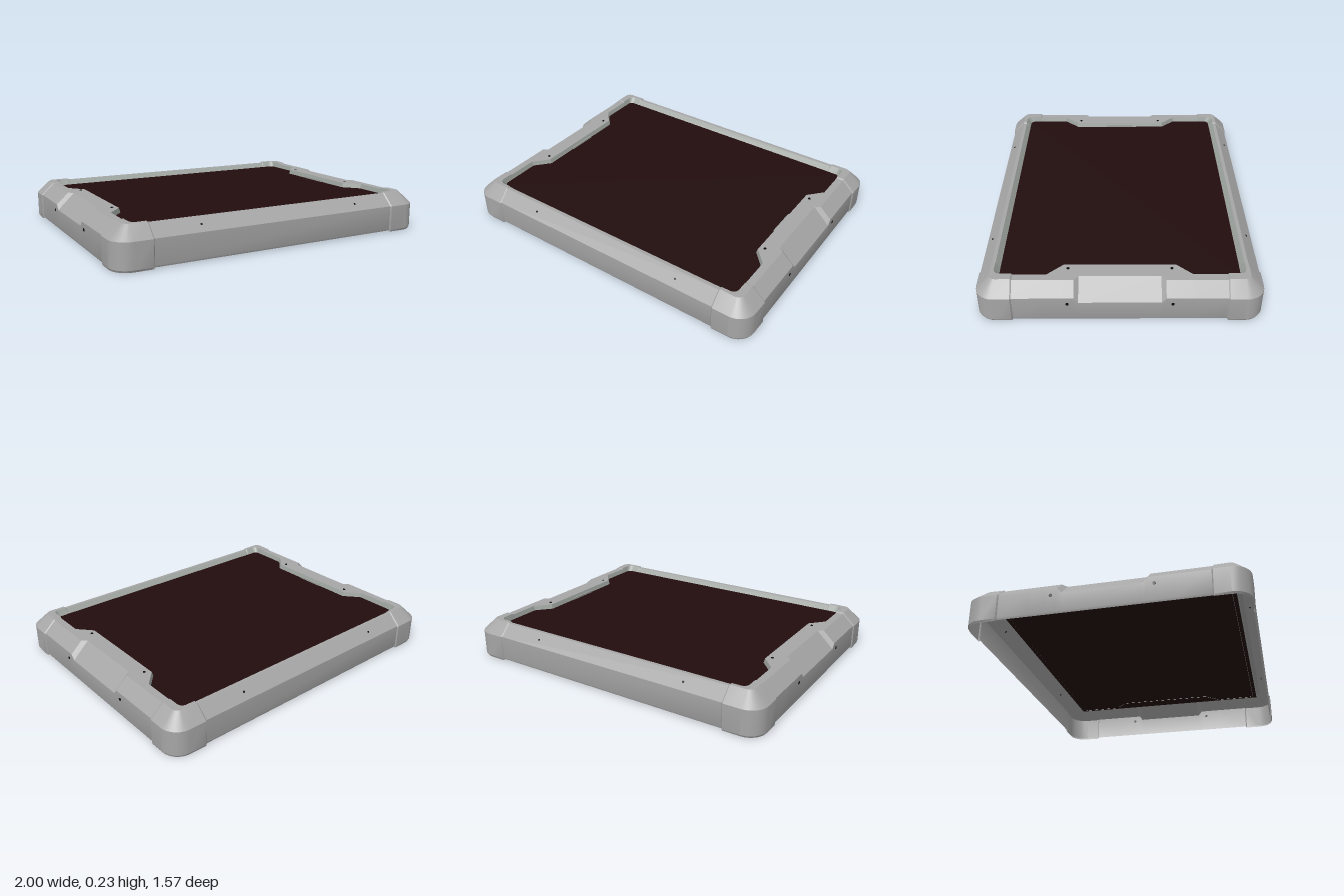
import * as THREE from 'three';
import { toCreasedNormals } from 'three/addons/utils/BufferGeometryUtils.js';

const shellMat = new THREE.MeshStandardMaterial({ name: 'grey shell', color: 0xa6a6a6, side: THREE.DoubleSide });
const lipMat = new THREE.MeshStandardMaterial({ name: 'greenish grey lip', color: 0x9da39f, side: THREE.DoubleSide });
const panelMat = new THREE.MeshStandardMaterial({ name: 'dark panel', color: 0x220d0d });
const holeMat = new THREE.MeshStandardMaterial({ name: 'black hole', color: 0x0a0a0a });

// One station of the frame: its section from the bottom edge, over the rim, to the inner lip.
function section(out, low, wallY, chamfer, topY, innerTop, innerLow, bottomY) {
  return [
    [low[0], bottomY, low[1]],
    [out[0], bottomY + 0.012, out[1]],
    [out[0], wallY, out[1]],
    [chamfer[0], topY, chamfer[1]],
    [innerTop[0], topY, innerTop[1]],
    [innerLow[0], 0.196, innerLow[1]],
  ];
}

// Stations of one quarter of the frame, from the side notch round to the front.
function quarterStations() {
  const list = [];
  const side = (z, notch, inner, bulge = 0) => list.push(section(
    [0.993 + bulge, z], [0.988 + bulge, z], notch ? 0.13 : 0.16, [notch ? 0.89 : 0.92, z],
    0.228 + bulge, [inner + 0.01, z], [inner, z], 0.007 - bulge));
  side(0.225, true, 0.785);
  side(0.25, false, 0.785);
  side(0.31, false, 0.785);
  side(0.4, false, 0.865);
  side(0.585, false, 0.865);
  side(0.592, false, 0.865, 0.007);
  // rounded corner bumper
  const arc = (x, z, r, a) => [x - r + r * Math.cos(a), z - r + r * Math.sin(a)];
  for (let i = 0; i <= 8; i++) {
    const a = i / 8 * Math.PI / 2;
    list.push(section(
      arc(1, 0.787, 0.105, a), arc(0.994, 0.781, 0.1, a), 0.16, arc(0.922, 0.712, 0.04, a),
      0.235, arc(0.875, 0.69, 0.035, a), arc(0.865, 0.66, 0.03, a), 0));
  }
  const front = (x, bulge) => list.push(section(
    [x, 0.78 + bulge], [x, 0.775 + bulge], 0.16, [x, 0.711], 0.228 + bulge,
    [x, 0.69], [x, 0.66], 0.007 - bulge));
  front(0.79, 0.007);
  front(0.783, 0);
  return list;
}

// Mirror the quarter into a closed loop of stations.
function fullLoop() {
  const quarter = quarterStations();
  const flip = (sx, sz) => quarter.map(s => s.map(([x, y, z]) => [x * sx, y, z * sz]));
  return [...flip(1, 1), ...flip(-1, 1).reverse(), ...flip(-1, -1), ...flip(1, -1).reverse()];
}

// Skin the loop between two section points.
function skin(loop, from, to) {
  const pos = [];
  loop.forEach((s, i) => {
    const n = loop[(i + 1) % loop.length];
    for (let r = from; r < to; r++) {
      pos.push(...s[r], ...s[r + 1], ...n[r], ...n[r], ...s[r + 1], ...n[r + 1]);
    }
  });
  const geo = new THREE.BufferGeometry();
  geo.setAttribute('position', new THREE.Float32BufferAttribute(pos, 3));
  return toCreasedNormals(geo, 0.4);
}

export function createModel() {
  const model = new THREE.Group();
  model.name = 'framedTray';
  const add = (name, geo, mat, x = 0, y = 0, z = 0) => {
    const mesh = new THREE.Mesh(geo, mat);
    mesh.name = name;
    mesh.position.set(x, y, z);
    model.add(mesh);
    return mesh;
  };

  const loop = fullLoop();
  add('outerFrame', skin(loop, 0, 4), shellMat);
  add('innerLip', skin(loop, 4, 5), lipMat);
  add('panel', new THREE.BoxGeometry(1.77, 0.002, 1.37), panelMat, 0, 0.199, 0);

  // small screw holes and the slim tab on each side
  const hole = r => new THREE.CylinderGeometry(r, r, 0.006, 10);
  for (const s of [1, -1]) {
    add('sideTab', new THREE.BoxGeometry(0.008, 0.012, 0.19), lipMat, s * 0.785, 0.206, 0);
    for (const z of [-0.285, 0.285]) {
      add('rimHole', hole(0.008), holeMat, s * 0.827, 0.228, z);
      add('wallHole', hole(0.009), holeMat, s * 0.993, 0.12, z).rotation.z = Math.PI / 2;
    }
    for (const x of [-0.5, 0.53]) {
      add('chamferHole', hole(0.006), holeMat, s * x, 0.194, s * 0.7455).rotation.x = s * 0.79;
    }
  }
  return model;
}
